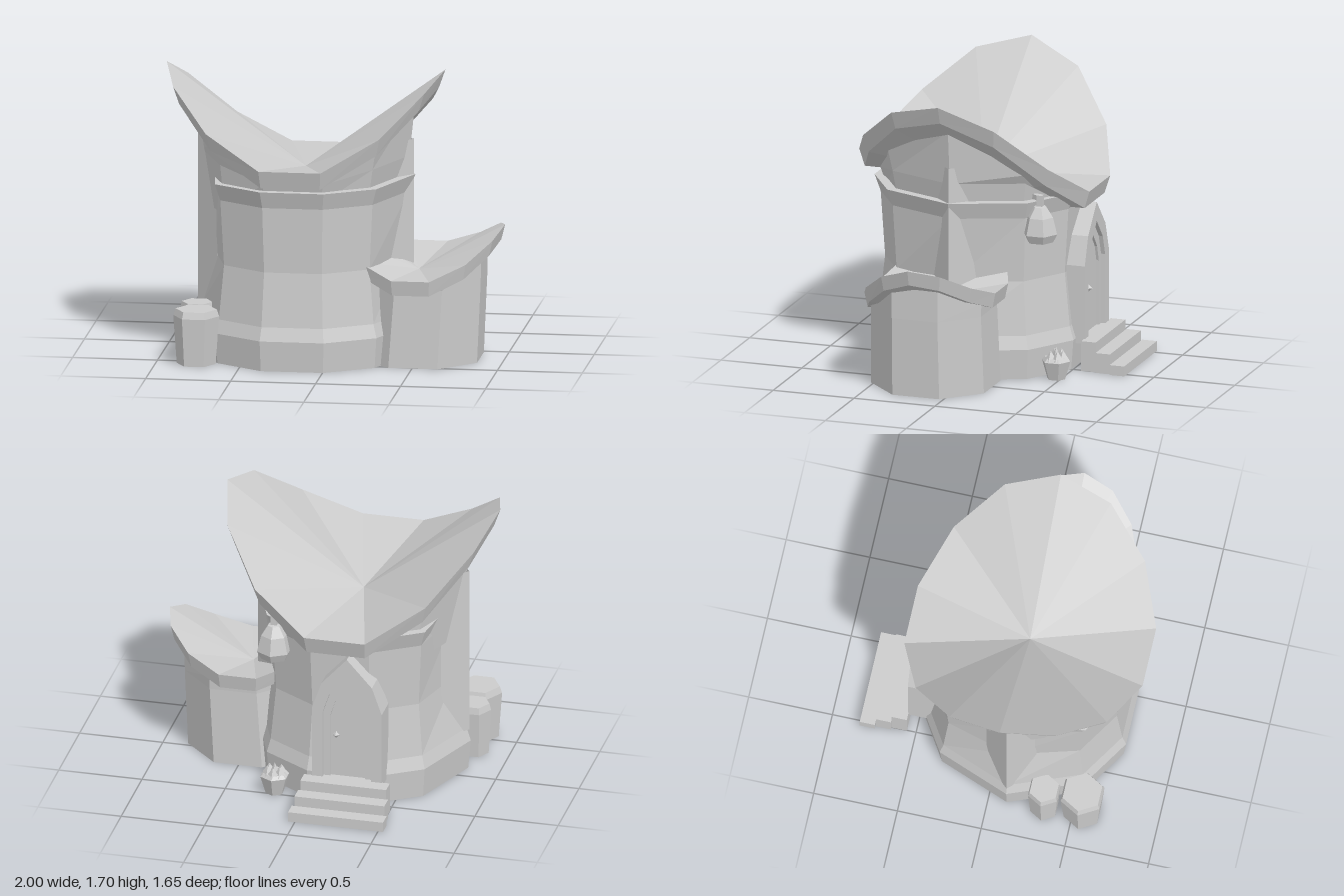
import * as THREE from 'three';

const stone = new THREE.MeshStandardMaterial({ color: 0xcccccc, flatShading: true, side: THREE.DoubleSide });
stone.name = 'pale grey';

// Point at angle a (0 = front, 90 degrees = +x) around a centre
const polar = (c, rx, rz, a, y) => [c[0] + rx * Math.sin(a), y, c[1] + rz * Math.cos(a)];

// Skin joining equal-length rings, listed from underside to top
function loft(rings) {
  const p = [], n = rings[0].length;
  for (let k = 0; k + 1 < rings.length; k++) {
    for (let i = 0; i < n; i++) {
      const j = (i + 1) % n, b = rings[k], t = rings[k + 1];
      p.push(...b[i], ...b[j], ...t[j], ...b[i], ...t[j], ...t[i]);
    }
  }
  const g = new THREE.BufferGeometry();
  g.setAttribute('position', new THREE.Float32BufferAttribute(p, 3));
  g.computeVertexNormals();
  return g;
}

// Ring through a list of angles; r and y may depend on the angle
const ring = (angles, c, r, y) => angles.map(a => {
  const rr = typeof r === 'function' ? r(a) : r;
  return polar(c, rr, rr, a, typeof y === 'function' ? y(a) : y);
});
const evenAngles = n => Array.from({ length: n }, (_, i) => ((i + 0.5) / n) * Math.PI * 2);
const towerAngles = [17, 47.5, 90, 132.5, 163, 197, 227.5, 270, 312.5, 343].map(THREE.MathUtils.degToRad);

// Saddle roof with a thick bevelled rim
function saddleRoof(c, rx, rz, height, mid, drop, innerDrop) {
  const make = (s, y) => evenAngles(14).map(a => polar(c, rx * s, rz * s, a, y(a)));
  return loft([
    make(0, () => mid - 0.08), make(0.79, a => height(a) - innerDrop(a)),
    make(0.955, a => height(a) - drop), make(1, height), make(0, () => mid),
  ]);
}

// Pointed arch outline
function archPath(path, w, y0, spring, apex) {
  path.moveTo(-w, y0);
  path.lineTo(w, y0);
  path.lineTo(w, spring);
  path.lineTo(w * 0.72, spring + (apex - spring) * 0.5);
  path.lineTo(0, apex);
  path.lineTo(-w * 0.72, spring + (apex - spring) * 0.5);
  path.lineTo(-w, spring);
  path.closePath();
  return path;
}

function arch(outer, inner, depth) {
  const s = archPath(new THREE.Shape(), ...outer);
  if (inner) s.holes.push(archPath(new THREE.Path(), ...inner));
  return new THREE.ExtrudeGeometry(s, { depth, bevelEnabled: false });
}

export function createModel() {
  const root = new THREE.Group();
  const add = (name, geometry, x = 0, y = 0, z = 0, parent = root) => {
    const m = new THREE.Mesh(geometry, stone);
    m.name = name;
    m.position.set(x, y, z);
    parent.add(m);
    return m;
  };
  const lathe = (pts, n) => new THREE.LatheGeometry(pts.map(p => new THREE.Vector2(...p)), n);
  const sin2 = a => Math.sin(a) ** 2;

  // Main tower, open below and pinched in at its two side corners
  const c = [-0.18, 0.11];
  const profile = [[0.627, 0], [0.643, 0.18], [0.617, 0.26], [0.581, 0.58],
    [0.607, 0.97], [0.643, 1.07], [0.56, 1.07]];
  add('towerBody', loft(profile.map(([r, y]) => ring(towerAngles, c, a => {
    if (Math.sin(a) < -0.99 && y > 0.3) return Math.min(r, 0.54);
    if (Math.sin(a) > 0.99 && y > 0.3 && y < 0.9) return Math.min(r, 0.56);
    return r;
  }, y))));

  // Narrow upright ridges that break through the pinched side corners
  for (const s of [1, -1]) {
    const wedge = [[0.635, 0], [0.5, -0.15 * s], [0.5, 0.15 * s]];
    add(s > 0 ? 'leftRidge' : 'rightRidge', loft([0.25, 1.28].map(y =>
      wedge.map(([x, z]) => [c[0] + s * x, y, c[1] + z]))));
  }

  // Upper wall, rising to meet the roof and hanging lower on the right side
  const roofHeight = a => 1.123 + 0.577 * sin2(a) + 0.065 * Math.cos(a);
  const roofInner = a => 0.11 + 0.095 * sin2(a);
  add('upperWall', loft([
    ring(towerAngles, c, 0.572, a => (Math.sin(a) < -0.5 ? 0.86 : 1.0)),
    ring(towerAngles, c, 0.608, a => Math.min(1.18, roofHeight(a) - 0.12)),
    ring(towerAngles, c, 0.643, a => roofHeight(a) - roofInner(a) + 0.01),
  ]));
  add('mainRoof', saddleRoof(c, 0.82, 0.73, roofHeight, 1.1, 0.105, roofInner));

  // Side annex, leaning slightly outwards
  const annexAngles = evenAngles(8);
  const annexHeight = a => 0.553 + 0.247 * sin2(a) - 0.036 * Math.cos(a);
  const annexInner = a => 0.09 + 0.045 * sin2(a);
  add('annexWall', loft([
    ring(annexAngles, [0.505, 0.17], 0.378, 0),
    ring(annexAngles, [0.535, 0.17], 0.368, a => Math.min(0.47, annexHeight(a) - 0.09)),
    ring(annexAngles, [0.535, 0.17], 0.372, a => annexHeight(a) - annexInner(a) + 0.025),
  ]));
  add('annexRoof', saddleRoof([0.495, 0.17], 0.505, 0.415, annexHeight, 0.52, 0.09, annexInner));

  // Back door with frame, panel and knob
  const door = new THREE.Group();
  door.name = 'door';
  door.position.set(-0.245, 0, -0.4);
  door.rotation.y = Math.PI;
  root.add(door);
  add('doorFrame', arch([0.21, 0.15, 0.62, 0.955], [0.145, 0.18, 0.6, 0.84], 0.16), 0, 0, 0, door);
  add('doorPanel', arch([0.15, 0.17, 0.61, 0.85], null, 0.12), 0, 0, 0, door);
  add('doorInset', arch([0.145, 0.18, 0.6, 0.84], [0.105, 0.18, 0.57, 0.76], 0.135), 0, 0, 0, door);
  add('doorKnob', new THREE.OctahedronGeometry(0.022), -0.07, 0.45, 0.135, door);

  // Entrance steps, one slim block each
  [[0.515, 0.18, -0.645], [0.54, 0.12, -0.737], [0.57, 0.06, -0.83]].forEach(([w, h, z]) =>
    add('step', new THREE.BoxGeometry(w, h, 0.09), -0.245, h / 2, z + 0.045));

  // Lantern hanging by the door, hollow below
  const lantern = new THREE.Group();
  lantern.name = 'lantern';
  lantern.position.set(0.235, 0, -0.38);
  root.add(lantern);
  add('lanternShade', lathe([[0, 0.88], [0.055, 0.87], [0.07, 0.83], [0.08, 0.83], [0.105, 0.88],
    [0.08, 0.98], [0.04, 1.04], [0, 1.05]], 6), 0, 0, 0, lantern);
  add('lanternHook', new THREE.BoxGeometry(0.035, 0.07, 0.035), 0, 1.075, 0, lantern);
  const arm = add('lanternArm', new THREE.BoxGeometry(0.03, 0.03, 0.12), -0.03, 1.09, 0.04, lantern);
  arm.rotation.y = -0.6;

  // Potted plant
  const plant = new THREE.Group();
  plant.name = 'pottedPlant';
  plant.position.set(0.21, 0, -0.47);
  root.add(plant);
  add('pot', lathe([[0.055, 0], [0.088, 0.11], [0.07, 0.13], [0, 0.125]], 6), 0, 0, 0, plant);
  for (let i = 0; i < 6; i++) {
    const a = i * Math.PI / 3, r = i ? 0.042 : 0;
    add('leaf', new THREE.ConeGeometry(0.042, i ? 0.06 : 0.09, 4), r * Math.sin(a), 0.145, r * Math.cos(a), plant);
  }

  // Barrels
  [[-0.765, 0.553, 0.135, 0.325], [-0.79, 0.33, 0.1, 0.32]].forEach(([x, z, r, h]) => {
    const b = add('barrel', lathe([[r * 0.85, 0], [r, h - 0.04], [r * 0.9, h], [0, h]], 6), x, 0, z);
    b.rotation.y = Math.PI / 6;
  });
  return root;
}
